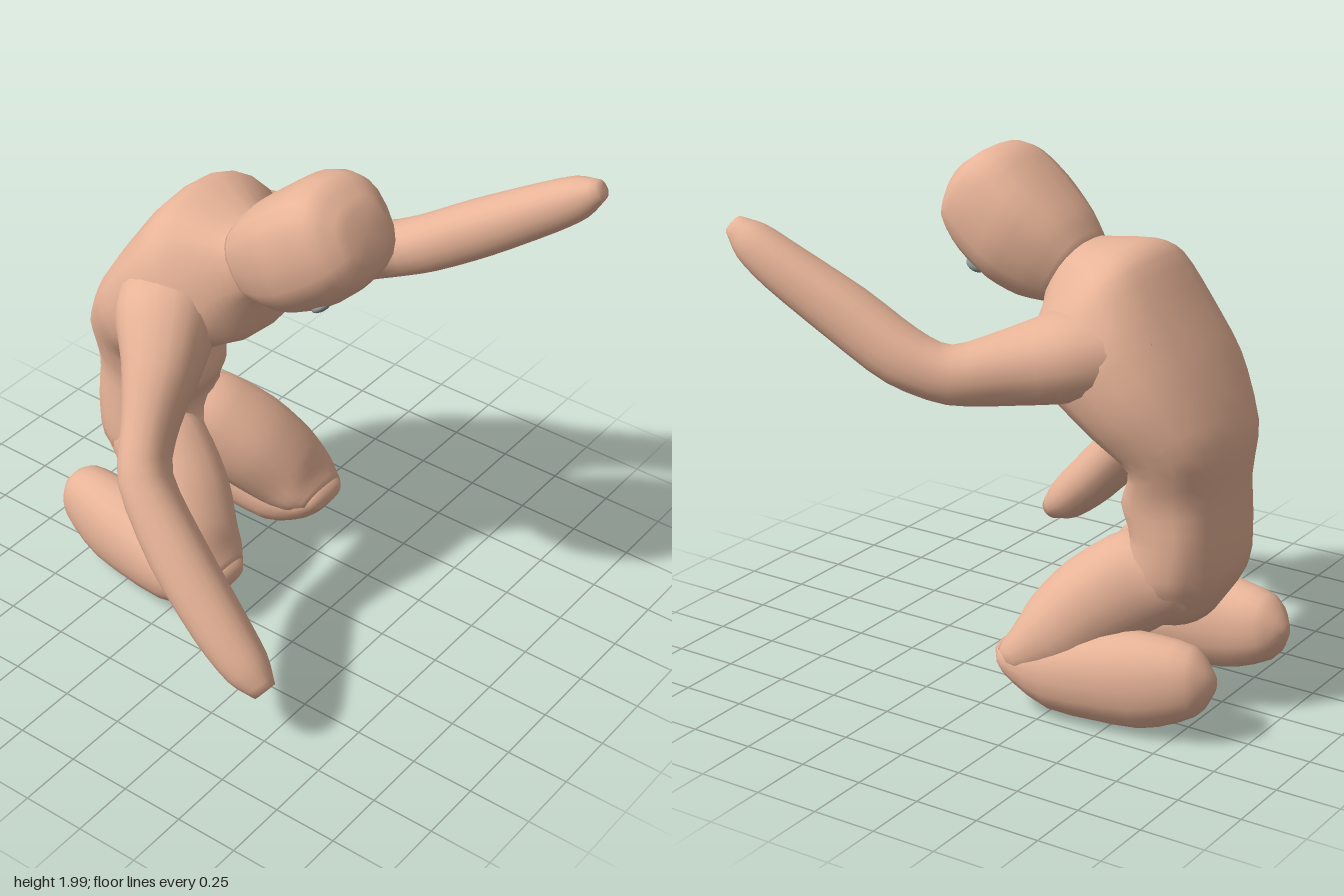
import * as THREE from 'three';

const V = (x, y, z) => new THREE.Vector3(x, y, z);
const skin = new THREE.MeshStandardMaterial({ color: 0xe8b498 });
const eyeColor = new THREE.MeshStandardMaterial({ color: 0x8c9490 });
const SIDES = 20, STEPS = 3;

// Smooth skin over rings {c, u, v}: centre and two half axes, u x v along the path
function loft(name, rings, power) {
  const spline = key => new THREE.CatmullRomCurve3(rings.map(r => r[key]), false, 'catmullrom', 0.4);
  const [C, U, W] = ['c', 'u', 'v'].map(spline);
  const rows = (rings.length - 1) * STEPS, pos = [], idx = [];
  const bend = a => Math.sign(a) * Math.abs(a) ** (2 / power);
  for (let i = 0; i <= rows; i++) {
    const t = i / rows, c = C.getPoint(t), u = U.getPoint(t), v = W.getPoint(t);
    for (let j = 0; j < SIDES; j++) {
      const a = j / SIDES * Math.PI * 2;
      const p = c.clone().addScaledVector(u, bend(Math.cos(a))).addScaledVector(v, bend(Math.sin(a)));
      pos.push(p.x, p.y, p.z);
    }
  }
  for (let i = 0; i < rows; i++) for (let j = 0; j < SIDES; j++) {
    const k = (j + 1) % SIDES, a = i * SIDES, b = a + SIDES;
    idx.push(a + j, a + k, b + j, a + k, b + k, b + j);
  }
  // End caps
  const first = rings[0].c, last = rings[rings.length - 1].c, n = pos.length / 3;
  pos.push(first.x, first.y, first.z, last.x, last.y, last.z);
  for (let j = 0; j < SIDES; j++) {
    const k = (j + 1) % SIDES, e = rows * SIDES;
    idx.push(n, k, j, n + 1, e + j, e + k);
  }
  const g = new THREE.BufferGeometry();
  g.setAttribute('position', new THREE.Float32BufferAttribute(pos, 3));
  g.setIndex(idx);
  g.computeVertexNormals();
  const mesh = new THREE.Mesh(g, skin);
  mesh.name = name;
  return mesh;
}

// Ring of the trunk: back z, y, front z, y, centre x, half width
const trunkRing = ([bz, by, fz, fy, x, w]) => ({
  c: V(x, (by + fy) / 2, (bz + fz) / 2),
  u: V(w, 0, 0),
  v: V(0, (by - fy) / 2, (bz - fz) / 2),
});

// Limb from rows of x, y, z, radius towards side and optional second radius
function limb(name, rows, side) {
  const pts = rows.map(r => V(r[0], r[1], r[2]));
  let ref = side.clone();
  return loft(name, rows.map(([, , , r, r2 = r], i) => {
    const t = pts[Math.min(i + 1, pts.length - 1)].clone().sub(pts[Math.max(i - 1, 0)]).normalize();
    ref = ref.clone().addScaledVector(t, -ref.dot(t)).normalize();
    return { c: pts[i], u: ref.clone().multiplyScalar(r), v: t.cross(ref).multiplyScalar(r2) };
  }), 2.2);
}

export function createModel() {
  const model = new THREE.Group();
  model.name = 'kneelingFigure';

  // Hunched trunk from pelvis to neck, broad at the shoulder blades
  model.add(loft('torso', [
    [-0.70, 0.36, -0.40, 0.36, 0.04, 0.17],
    [-0.81, 0.54, -0.34, 0.47, 0.04, 0.27],
    [-0.82, 0.72, -0.44, 0.67, 0.045, 0.265],
    [-0.82, 0.90, -0.40, 0.80, 0.05, 0.26],
    [-0.82, 1.10, -0.45, 0.94, 0.05, 0.305],
    [-0.70, 1.33, -0.33, 1.04, 0.035, 0.385],
    [-0.57, 1.52, -0.13, 1.18, 0.03, 0.405],
    [-0.45, 1.68, -0.04, 1.24, 0.01, 0.36],
    [-0.35, 1.72, 0.00, 1.35, -0.01, 0.27],
    [-0.13, 1.69, 0.02, 1.43, -0.06, 0.16],
    [-0.07, 1.72, 0.08, 1.48, -0.06, 0.14],
  ].map(trunkRing), 2.5));

  // Bowed, boxy head
  model.add(loft('head', [
    [-0.14, 1.68, 0.00, 1.43, -0.06, 0.15],
    [-0.07, 1.78, 0.13, 1.44, -0.055, 0.195],
    [0.05, 1.89, 0.25, 1.49, -0.055, 0.235],
    [0.17, 1.98, 0.38, 1.58, -0.055, 0.23],
    [0.27, 1.995, 0.46, 1.68, -0.055, 0.20],
    [0.38, 1.93, 0.47, 1.78, -0.055, 0.11],
  ].map(trunkRing), 2.5));

  // Eyes set nearly flush in the face
  for (const s of [-1, 1]) {
    const eye = new THREE.Mesh(new THREE.SphereGeometry(0.045, 16, 10), eyeColor);
    eye.name = s > 0 ? 'leftEye' : 'rightEye';
    eye.position.set(-0.047 + s * 0.113, 1.55, 0.306);
    eye.scale.set(0.85, 0.85, 0.4);
    eye.rotation.x = 0.96;
    model.add(eye);
  }

  // Right arm reaching down to the front, left arm raised forward
  model.add(limb('rightArm', [
    [-0.14, 1.36, -0.42, 0.16, 0.16],
    [-0.29, 1.32, -0.30, 0.19, 0.195],
    [-0.42, 1.19, -0.225, 0.145, 0.17],
    [-0.54, 1.04, -0.18, 0.105, 0.14],
    [-0.65, 0.88, -0.12, 0.10, 0.12],
    [-0.71, 0.67, 0.07, 0.11],
    [-0.735, 0.45, 0.28, 0.105],
    [-0.745, 0.32, 0.42, 0.087],
    [-0.75, 0.255, 0.505, 0.045],
  ], V(0, 0, 1)));
  model.add(limb('leftArm', [
    [0.15, 1.37, -0.50, 0.13, 0.17],
    [0.30, 1.37, -0.29, 0.165, 0.205],
    [0.44, 1.33, -0.11, 0.135, 0.155],
    [0.585, 1.31, 0.06, 0.105, 0.115],
    [0.65, 1.37, 0.22, 0.11],
    [0.69, 1.50, 0.43, 0.11],
    [0.745, 1.65, 0.67, 0.095],
    [0.765, 1.73, 0.79, 0.078],
    [0.775, 1.785, 0.868, 0.038],
  ], V(0, 1, 0)));

  // Folded legs, mirrored about the pelvis
  for (const s of [-1, 1]) {
    const leg = new THREE.Group(), side = V(1, 0, 0);
    leg.name = s > 0 ? 'leftLeg' : 'rightLeg';
    const place = rows => rows.map(([x, ...rest]) => [0.037 + s * x, ...rest]);
    leg.add(limb('thigh', place([
      [0.09, 0.55, -0.66, 0.15, 0.13],
      [0.14, 0.51, -0.50, 0.18, 0.19],
      [0.22, 0.41, -0.35, 0.195, 0.185],
      [0.295, 0.29, -0.23, 0.185, 0.16],
      [0.32, 0.22, -0.13, 0.165, 0.105],
      [0.32, 0.20, -0.06, 0.12, 0.055],
    ]), side));
    leg.add(limb('shinAndFoot', place([
      [0.32, 0.21, -0.025, 0.08, 0.03],
      [0.32, 0.195, -0.09, 0.145, 0.085],
      [0.32, 0.17, -0.27, 0.17, 0.16],
      [0.31, 0.195, -0.60, 0.14, 0.18],
      [0.28, 0.23, -0.81, 0.10, 0.13],
      [0.27, 0.23, -0.885, 0.03, 0.035],
    ]), side));
    model.add(leg);
  }
  return model;
}
